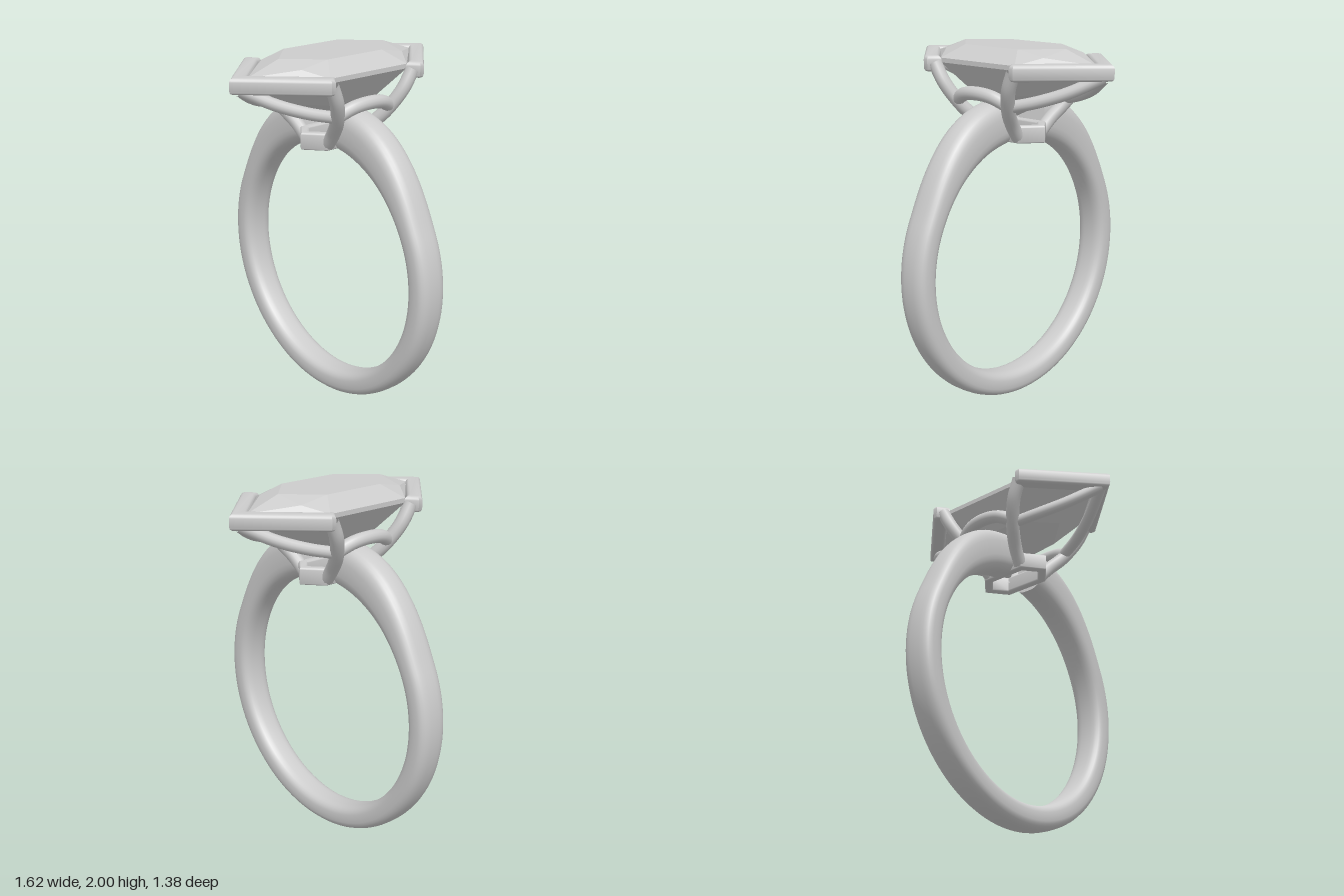
import * as THREE from 'three';
import { toCreasedNormals } from 'three/addons/utils/BufferGeometryUtils.js';
import { ConvexGeometry } from 'three/addons/geometries/ConvexGeometry.js';

const metal = new THREE.MeshStandardMaterial({ color: 0xcccccc, roughness: 0.5 });
const gem = new THREE.MeshStandardMaterial({ color: 0xcccccc, flatShading: true });

function add(parent, name, geometry, material = metal) {
  const mesh = new THREE.Mesh(geometry, material);
  mesh.name = name;
  parent.add(mesh);
  return mesh;
}

const V = (x, y, z) => new THREE.Vector3(x, y, z);
const outline = (pts) => pts.map(([x, z]) => new THREE.Vector2(x, z));

// Elongated hexagon with points towards front and back
const hexagon = (w, corner, tip) =>
  [[w, -corner], [w, corner], [0, tip], [-w, corner], [-w, -corner], [0, -tip]];

// Plan-view shape (x, z) extruded between two heights with softened edges
function plate(shape, bottom, top, bevel) {
  const geo = new THREE.ExtrudeGeometry(shape, {
    depth: top - bottom - 2 * bevel, bevelThickness: bevel, bevelSize: bevel,
    bevelOffset: -bevel, bevelSegments: 4, curveSegments: 4,
  });
  geo.rotateX(Math.PI / 2).translate(0, top - bevel, 0);
  return toCreasedNormals(geo, 0.6);
}

const rod = (pts, radius) =>
  new THREE.TubeGeometry(new THREE.CatmullRomCurve3(pts), 28, radius, 14);

// Open band, swept around the finger and swelling towards the head
function bandGeometry() {
  const N = 120, M = 28, gap = THREE.MathUtils.degToRad(10), inner = 0.67;
  const pos = [], idx = [];
  const soft = (v) => Math.sign(v) * Math.pow(Math.abs(v), 0.72);
  const ring = (i) => {
    const a = gap + (i / N) * (2 * Math.PI - 2 * gap);
    const fromTop = THREE.MathUtils.radToDeg(Math.min(a, 2 * Math.PI - a));
    const swell = 1 - THREE.MathUtils.smoothstep(fromTop, 18, 66);
    const outer = 0.81 + 0.11 * swell;
    const width = 0.1 - 0.013 * fromTop / 180;
    for (let j = 0; j < M; j++) {
      const p = (j / M) * 2 * Math.PI;
      const r = (outer + inner) / 2 + ((outer - inner) / 2) * soft(Math.cos(p));
      pos.push(Math.sin(a) * r, 0.81 + Math.cos(a) * r, width * soft(Math.sin(p)));
    }
    return V(Math.sin(a), Math.cos(a), 0).multiplyScalar((outer + inner) / 2).add(V(0, 0.81, 0));
  };
  for (let i = 0; i <= N; i++) ring(i);
  for (let i = 0; i < N; i++) {
    for (let j = 0; j < M; j++) {
      const k = (j + 1) % M;
      const a = i * M + j, b = i * M + k, c = a + M, d = b + M;
      idx.push(a, b, c, b, d, c);
    }
  }
  // flat end caps
  for (const end of [0, N]) {
    const start = pos.length / 3;
    const centre = ring(end);
    pos.push(centre.x, centre.y, centre.z);
    for (let j = 0; j < M; j++) {
      const a = start + j, b = start + (j + 1) % M;
      idx.push(start + M, end ? a : b, end ? b : a);
    }
  }
  const geo = new THREE.BufferGeometry();
  geo.setAttribute('position', new THREE.Float32BufferAttribute(pos, 3));
  geo.setIndex(idx);
  geo.computeVertexNormals();
  return geo;
}

// Faceted stone: table, girdle, belly and point
function stoneGeometry() {
  const pts = [V(0, 1.6, 0)];
  const level = (y, w, corner, tip) =>
    hexagon(w, corner, tip).forEach(([x, z]) => pts.push(V(x, y, z)));
  level(2.0, 0.18, 0.19, 0.37);
  level(1.93, 0.29, 0.27, 0.575);
  level(1.905, 0.29, 0.27, 0.575);
  level(1.75, 0.165, 0.16, 0.33);
  // raised crown points break the slanted sides into smaller facets
  for (const sx of [-1, 1]) {
    for (const sz of [-1, 1]) pts.push(V(sx * 0.165, 1.967, sz * 0.355));
  }
  return new ConvexGeometry(pts);
}

export function createModel() {
  const model = new THREE.Group();
  model.name = 'ring';
  add(model, 'band', bandGeometry());
  add(model, 'stone', stoneGeometry(), gem);

  const setting = new THREE.Group();
  setting.name = 'setting';
  model.add(setting);

  // Hollow hexagonal foot of the setting
  const foot = new THREE.Shape(outline(hexagon(0.115, 0.135, 0.228)));
  foot.holes.push(new THREE.Path(outline(hexagon(0.07, 0.11, 0.168).reverse())));
  add(setting, 'settingFoot', plate(foot, 1.483, 1.58, 0.012));

  // V-shaped corner guards around the two stone tips
  const half = [[0.365, 0.325], [0.365, 0.298], [0.305, 0.25], [0.275, 0.295]];
  const chevron = [[0, 0.69], ...half, [0, 0.57],
    ...half.slice().reverse().map(([x, z]) => [-x, z])];
  const guard = plate(new THREE.Shape(outline(chevron)), 1.857, 1.945, 0.022);
  add(setting, 'frontGuard', guard);
  add(setting, 'backGuard', guard).rotation.y = Math.PI;

  for (const sz of [1, -1]) {
    const end = sz > 0 ? 'front' : 'back';
    for (const sx of [1, -1]) {
      const side = sx > 0 ? 'Left' : 'Right';
      // Legs curve from the guard ends down to the foot
      add(setting, end + side + 'Leg', rod([
        V(sx * 0.318, 1.905, sz * 0.288), V(sx * 0.3, 1.8, sz * 0.235),
        V(sx * 0.235, 1.68, sz * 0.175), V(sx * 0.155, 1.59, sz * 0.13),
        V(sx * 0.09, 1.515, sz * 0.11)], 0.038));
      // Gallery rails run from the legs to the tip of each guard
      add(setting, end + side + 'Rail', rod([
        V(sx * 0.235, 1.7, sz * 0.18), V(sx * 0.18, 1.735, sz * 0.32),
        V(sx * 0.1, 1.79, sz * 0.47), V(0, 1.875, sz * 0.625)], 0.033));
    }
  }

  // Side rails arch outwards between each pair of legs
  for (const sx of [1, -1]) {
    add(setting, sx > 0 ? 'leftSideRail' : 'rightSideRail', rod([
      V(sx * 0.25, 1.71, -0.185), V(sx * 0.28, 1.75, -0.1), V(sx * 0.29, 1.762, 0),
      V(sx * 0.28, 1.75, 0.1), V(sx * 0.25, 1.71, 0.185)], 0.037));
  }
  return model;
}
